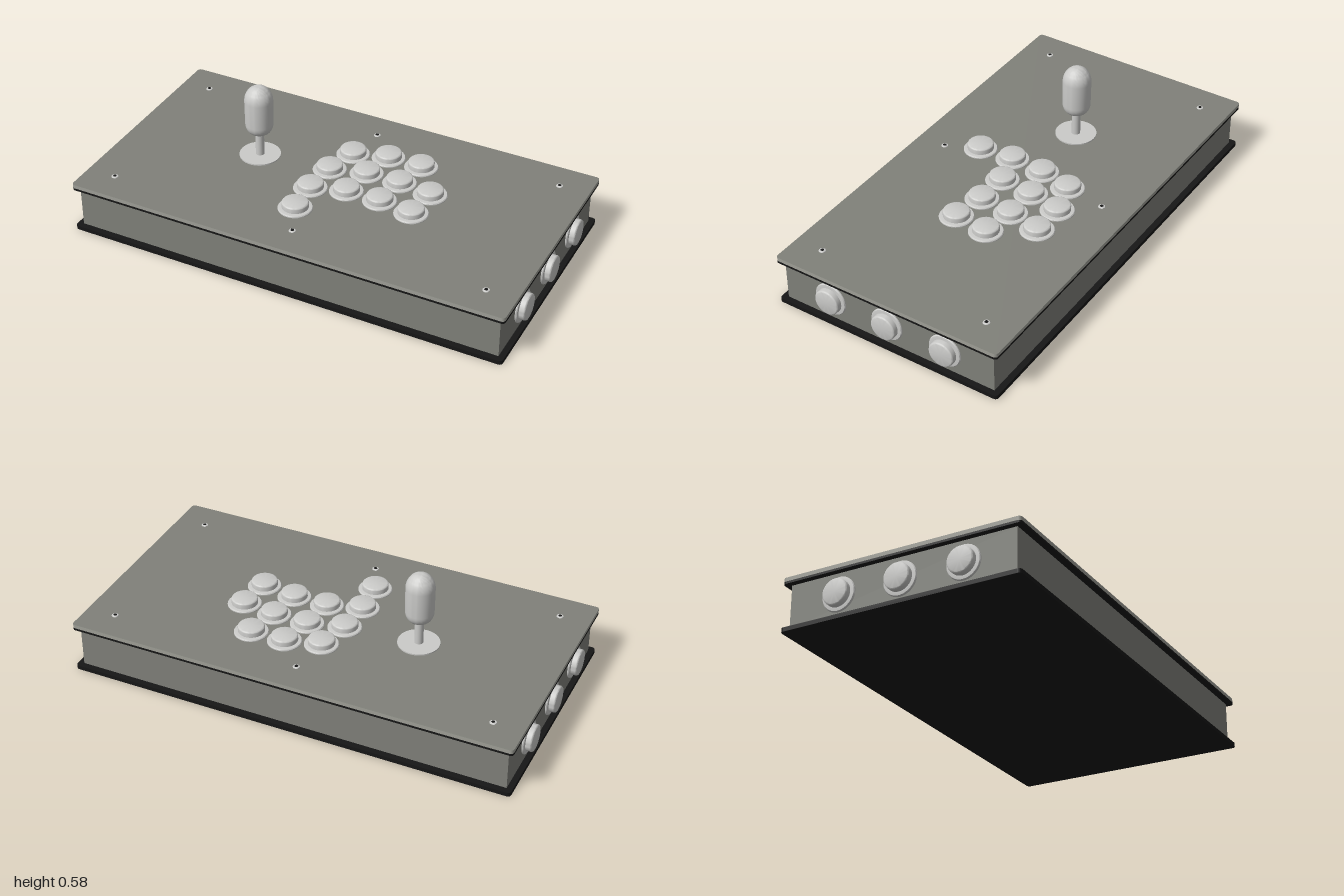
import * as THREE from 'three';
import { toCreasedNormals } from 'three/addons/utils/BufferGeometryUtils.js';

const material = (name, color) => {
  const m = new THREE.MeshStandardMaterial({ color });
  m.name = name;
  return m;
};

// Surface of revolution with crisp edges where the profile turns sharply
function lathe(points, segments = 48) {
  const profile = points.map(([r, y]) => new THREE.Vector2(r, y));
  return toCreasedNormals(new THREE.LatheGeometry(profile, segments), 0.6);
}

// Horizontal rounded-corner slab, from y0 to y1
function slab(halfX, halfZ, radius, y0, y1) {
  const s = new THREE.Shape();
  s.absarc(halfX - radius, halfZ - radius, radius, 0, Math.PI / 2);
  s.absarc(-halfX + radius, halfZ - radius, radius, Math.PI / 2, Math.PI);
  s.absarc(-halfX + radius, -halfZ + radius, radius, Math.PI, Math.PI * 1.5);
  s.absarc(halfX - radius, -halfZ + radius, radius, Math.PI * 1.5, Math.PI * 2);
  s.closePath();
  const g = new THREE.ExtrudeGeometry(s, { depth: y1 - y0, bevelEnabled: false, curveSegments: 6 });
  return g.rotateX(-Math.PI / 2).translate(0, y0, 0);
}

export function createModel() {
  const model = new THREE.Group();
  model.name = 'arcadeController';

  const grey = material('warm grey', 0x80817a);
  const edgeGrey = material('panel edge grey', 0xa0a098);
  const black = material('black', 0x161616);
  const light = material('light grey plastic', 0xcbcbc9);

  const add = (name, geometry, mat, parent = model) => {
    const mesh = new THREE.Mesh(geometry, mat);
    mesh.name = name;
    parent.add(mesh);
    return mesh;
  };

  // Case: base plate, walls, backing plate and top panel
  add('basePlate', slab(0.99, 0.53, 0.015, 0, 0.018), black);
  add('caseWalls', new THREE.BoxGeometry(1.93, 0.187, 1.006).translate(0, 0.1115, 0), grey);
  add('backingPlate', slab(0.99, 0.53, 0.015, 0.205, 0.215), black);
  add('topPanel', slab(0.99, 0.53, 0.015, 0.215, 0.232), [grey, edgeGrey]);

  // Push button: wide bezel with a rounded plunger
  const bezel = lathe([[0.074, 0], [0.074, 0.004], [0.071, 0.008], [0.06, 0.0095], [0.05, 0.0095]]);
  const plunger = lathe([
    [0.057, 0.008], [0.057, 0.028], [0.0562, 0.0315], [0.054, 0.034], [0.051, 0.035], [0, 0.035],
  ]);
  const button = (name) => {
    const g = new THREE.Group();
    g.name = name;
    add('bezel', bezel, light, g);
    add('plunger', plunger, light, g);
    model.add(g);
    return g;
  };

  // Twelve buttons on the top panel
  const layout = [
    [-0.027, -0.214], [0.123, -0.257], [0.278, -0.257],
    [-0.064, -0.064], [0.091, -0.107], [0.246, -0.107], [0.398, -0.086],
    [-0.075, 0.094], [0.072, 0.048], [0.227, 0.048], [0.382, 0.07],
    [-0.064, 0.251],
  ];
  for (const [x, z] of layout) button('topButton').position.set(x, 0.232, z);

  // Three buttons on each end wall
  for (const side of [-1, 1]) {
    for (const z of [-0.277, 0, 0.277]) {
      const b = button('sideButton');
      b.position.set(side * 0.965, 0.112, z);
      b.rotation.z = -side * Math.PI / 2;
    }
  }

  // Joystick: dust washer, shaft and bat-shaped grip
  const stick = new THREE.Group();
  stick.name = 'joystick';
  stick.position.set(-0.388, 0, -0.033);
  model.add(stick);
  add('dustWasher', lathe([[0.09, 0.232], [0.09, 0.238], [0, 0.238]]), light, stick);
  add('shaft', new THREE.CylinderGeometry(0.019, 0.019, 0.12, 32).translate(0, 0.295, 0), light, stick);
  const grip = [[0, 0.345]];
  for (let i = 0; i <= 8; i++) {
    const a = (i / 8) * Math.PI / 2;
    grip.push([0.022 + 0.039 * Math.sin(a), 0.395 - 0.05 * Math.cos(a)]);
  }
  for (let i = 0; i <= 12; i++) {
    const a = (i / 12) * Math.PI / 2;
    grip.push([0.062 * Math.cos(a), 0.508 + 0.07 * Math.sin(a)]);
  }
  add('batGrip', lathe(grip), light, stick);

  // Panel screws with a dark hex socket
  const head = lathe([[0.015, 0], [0.0145, 0.002], [0.011, 0.004], [0, 0.0045]], 24);
  const socket = new THREE.CylinderGeometry(0.008, 0.008, 0.002, 6);
  for (const x of [-0.857, 0, 0.857]) {
    for (const z of [-0.397, 0.397]) {
      const screw = new THREE.Group();
      screw.name = 'panelScrew';
      screw.position.set(x, 0.232, z);
      add('screwHead', head, light, screw);
      add('hexSocket', socket, black, screw).position.y = 0.004;
      model.add(screw);
    }
  }

  return model;
}
